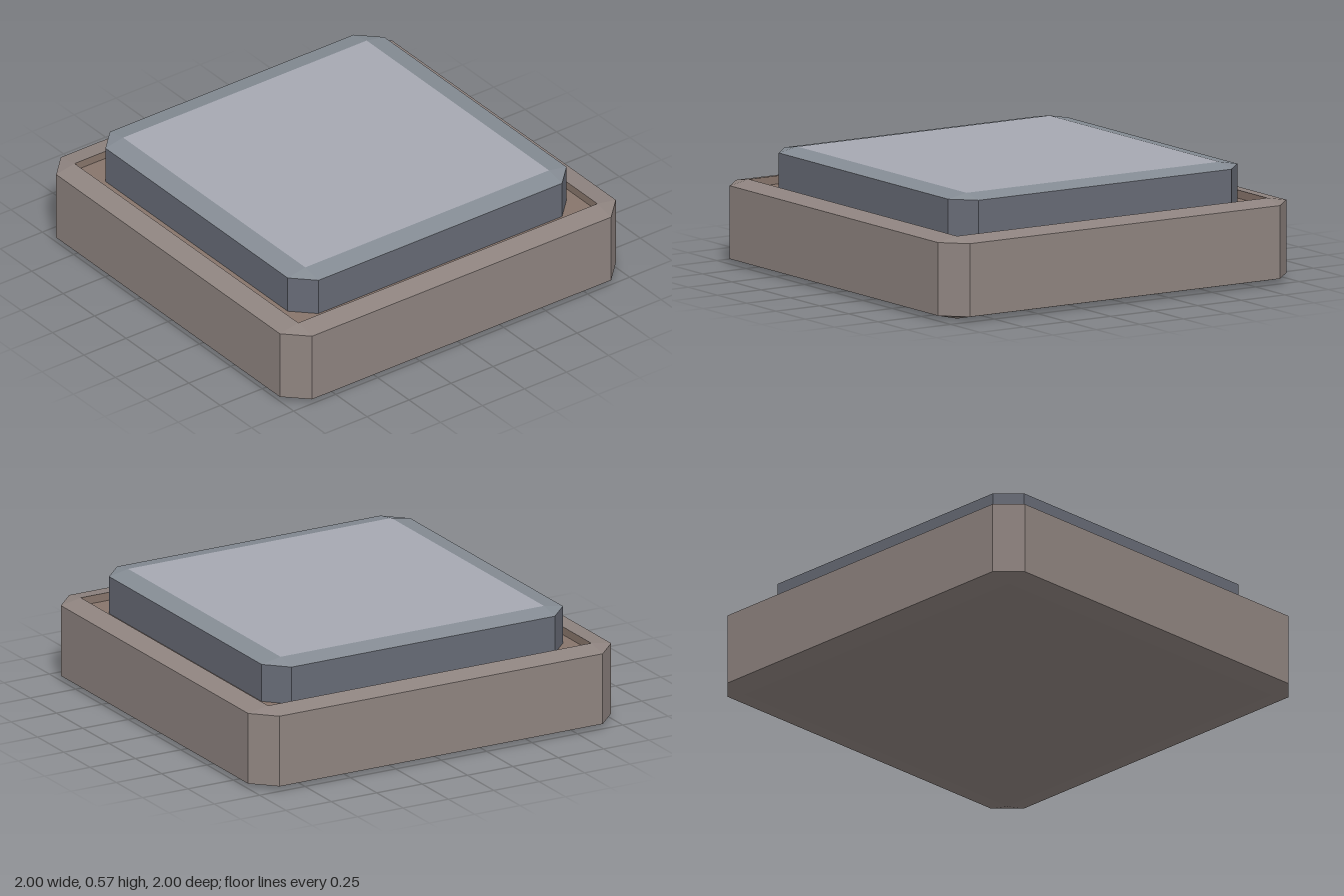
import * as THREE from 'three';

// Eight-point square outline: half width h, flat sides reaching to c (c = h gives sharp corners)
function ring(h, c, y) {
  return [[h, -c], [h, c], [c, h], [-c, h], [-h, c], [-h, -c], [-c, -h], [c, -h]]
    .map(([x, z]) => new THREE.Vector3(x, y, z));
}

// Flat-shaded skin through successive outlines, given as [h, c, y]
function loft(name, color, profile) {
  const rings = profile.map((p) => ring(...p));
  const pos = [];
  const tri = (a, b, c) => {
    if (new THREE.Triangle(a, b, c).getArea() > 1e-7) {
      for (const v of [a, b, c]) pos.push(v.x, v.y, v.z);
    }
  };
  for (let r = 0; r < rings.length - 1; r++) {
    const low = rings[r], high = rings[r + 1];
    for (let i = 0; i < 8; i++) {
      const j = (i + 1) % 8;
      tri(low[i], high[i], low[j]);
      tri(low[j], high[i], high[j]);
    }
  }
  const geo = new THREE.BufferGeometry();
  geo.setAttribute('position', new THREE.Float32BufferAttribute(pos, 3));
  geo.computeVertexNormals();
  const mesh = new THREE.Mesh(geo, new THREE.MeshStandardMaterial({ color, flatShading: true }));
  mesh.name = name;
  return mesh;
}

export function createModel() {
  const model = new THREE.Group();
  model.name = 'pushButton';

  // Bevelled housing: underside, chamfered walls and sloping rim
  model.add(loft('housing', 0x8f8480, [
    [0, 0, 0], [0.89, 0.89, 0], [1, 0.89, 0.025], [1, 0.89, 0.38], [0.89, 0.89, 0.4],
  ]));

  // Shallow square recess inside the rim
  model.add(loft('recess', 0x87756b, [
    [0.89, 0.89, 0.4], [0.89, 0.89, 0.36], [0, 0, 0.36],
  ]));

  // Raised cap: walls, bevel and top plate
  const cap = new THREE.Group();
  cap.name = 'cap';
  cap.add(loft('capWalls', 0x676b76, [[0.83, 0.725, 0.36], [0.83, 0.725, 0.547]]));
  cap.add(loft('capBevel', 0x858c94, [[0.83, 0.725, 0.547], [0.725, 0.725, 0.567]]));
  cap.add(loft('capTop', 0xa6a8b2, [[0.725, 0.725, 0.567], [0, 0, 0.567]]));
  model.add(cap);

  return model;
}
